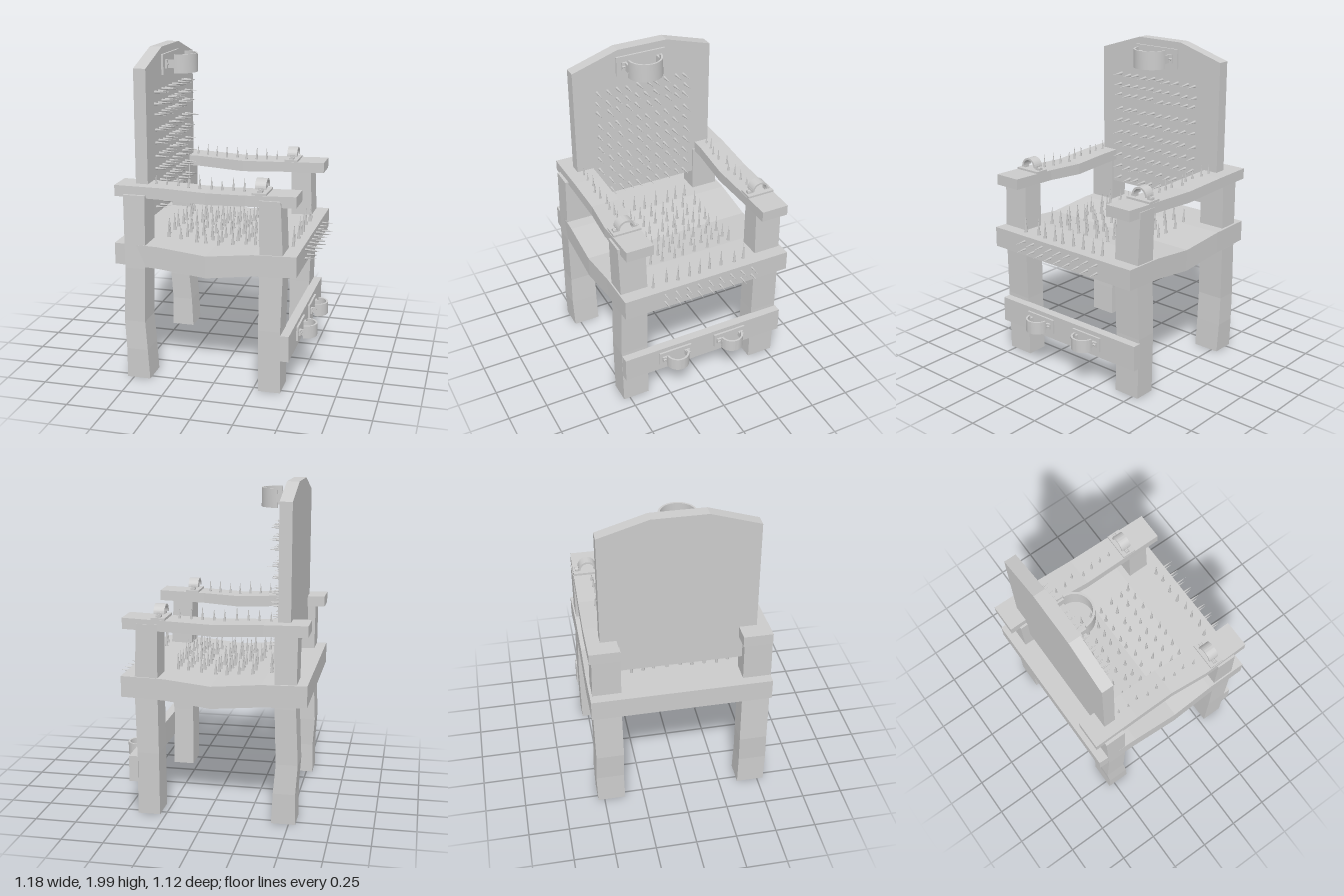
import * as THREE from 'three';
import { mergeGeometries, toCreasedNormals } from 'three/addons/utils/BufferGeometryUtils.js';

const V = (x, y, z) => new THREE.Vector3(x, y, z);
const grey = new THREE.MeshStandardMaterial({ color: 0xcccccc });
const flat = new THREE.MeshStandardMaterial({ color: 0xcccccc, flatShading: true });

// small seeded generator for hand-made irregularity, range -1..1
let seed = 7;
const jitter = () => {
  seed = (seed * 16807) % 2147483647;
  return (seed / 2147483647) * 2 - 1;
};

function add(parent, name, geometry, material = flat) {
  const mesh = new THREE.Mesh(geometry, material);
  mesh.name = name;
  parent.add(mesh);
  return mesh;
}

// Rough timber: rectangular sections [t, a0, a1, b0, b1] along an axis.
// axis x: a = y, b = z; axis y: a = z, b = x
function timber(axis, stations) {
  const place = axis === 'x' ? (t, a, b) => [t, a, b] : (t, a, b) => [b, t, a];
  const rings = stations.map(([t, a0, a1, b0, b1]) =>
    [place(t, a0, b0), place(t, a1, b0), place(t, a1, b1), place(t, a0, b1)]);
  const pos = [];
  const quad = (a, b, c, d) => pos.push(...a, ...b, ...c, ...a, ...c, ...d);
  for (let s = 0; s < rings.length - 1; s++) {
    for (let i = 0; i < 4; i++) {
      const j = (i + 1) % 4;
      quad(rings[s][i], rings[s][j], rings[s + 1][j], rings[s + 1][i]);
    }
  }
  const first = rings[0], last = rings[rings.length - 1];
  quad(first[3], first[2], first[1], first[0]);
  quad(...last);
  const geo = new THREE.BufferGeometry();
  geo.setAttribute('position', new THREE.Float32BufferAttribute(pos, 3));
  geo.computeVertexNormals();
  return geo;
}

// Slender cone standing at a point, pointing along dir
function spike(base, dir, length, radius = 0.011) {
  const geo = new THREE.ConeGeometry(radius, length, 6);
  geo.translate(0, length / 2, 0);
  const lean = dir.clone().add(V(jitter(), jitter(), jitter()).multiplyScalar(0.03)).normalize();
  geo.applyQuaternion(new THREE.Quaternion().setFromUnitVectors(V(0, 1, 0), lean));
  return geo.translate(base.x, base.y, base.z);
}

// Half-ring restraint on a mounting plate; local x = span, y = outward, z = band width
function cuff(name, { at, span, out, r, band, stand, plate }) {
  const group = new THREE.Group();
  group.name = name;
  const t = 0.012, plateT = 0.014;
  const shape = new THREE.Shape();
  shape.absarc(0, 0, r, 0, Math.PI, false);
  shape.absarc(0, 0, r - t, Math.PI, 0, true);
  const ring = new THREE.ExtrudeGeometry(shape, { depth: band, bevelEnabled: false, curveSegments: 14 });
  ring.translate(0, stand, -band / 2);
  add(group, 'cuffBand', toCreasedNormals(ring, 0.6), grey);
  add(group, 'cuffPlate', new THREE.BoxGeometry(plate[0], plateT, plate[1])).position.y = plateT / 2;
  for (const s of [-1, 1]) {
    // narrow tab from band to plate, with a foot and a pin
    add(group, 'cuffTab', new THREE.BoxGeometry(t, stand + 0.01, band * 0.45))
      .position.set(s * (r - t / 2), stand / 2 + 0.005, 0);
    add(group, 'cuffFoot', new THREE.BoxGeometry(0.025, 0.012, band * 0.45))
      .position.set(s * (r + 0.008), plateT + 0.006, 0);
    add(group, 'cuffPin', new THREE.CylinderGeometry(0.007, 0.007, 0.024, 8).rotateZ(Math.PI / 2), grey)
      .position.set(s * (r + 0.008), plateT + 0.012, 0);
  }
  group.quaternion.setFromRotationMatrix(
    new THREE.Matrix4().makeBasis(span, out, span.clone().cross(out)));
  group.position.copy(at);
  return group;
}

export function createModel() {
  seed = 7;
  const chair = new THREE.Group();
  chair.name = 'spikedChair';

  // sagging seat slab
  add(chair, 'seat', timber('x', [
    [-0.6, 0.74, 0.87, -0.56, 0.54], [-0.33, 0.73, 0.865, -0.56, 0.548],
    [-0.03, 0.70, 0.835, -0.55, 0.557], [0.25, 0.735, 0.865, -0.55, 0.55],
    [0.51, 0.745, 0.872, -0.553, 0.55]]));

  // armrests
  add(chair, 'rightArmrest', timber('x', [
    [-0.6, 1.155, 1.222, 0.345, 0.522], [-0.3, 1.148, 1.218, 0.341, 0.517],
    [-0.04, 1.135, 1.205, 0.337, 0.512], [0.2, 1.148, 1.213, 0.357, 0.535],
    [0.5, 1.155, 1.222, 0.358, 0.53]]));
  add(chair, 'leftArmrest', timber('x', [
    [-0.6, 1.155, 1.222, -0.56, -0.38], [-0.34, 1.15, 1.218, -0.56, -0.386],
    [-0.04, 1.135, 1.205, -0.552, -0.368], [0.22, 1.148, 1.213, -0.545, -0.366],
    [0.5, 1.155, 1.222, -0.537, -0.364]]));

  // crooked posts running from floor to armrests
  const backBend = [[0.01, -0.54, -0.395], [0.2, -0.538, -0.405], [0.38, -0.55, -0.42],
    [0.72, -0.535, -0.41], [1.17, -0.54, -0.405]];
  const frontBend = [[0.01, 0.285, 0.42], [0.4, 0.285, 0.418], [0.8, 0.29, 0.43], [1.19, 0.285, 0.412]];
  for (const [label, bend] of [['back', backBend], ['front', frontBend]]) {
    for (const s of [-1, 1]) {
      add(chair, label + (s > 0 ? 'RightPost' : 'LeftPost'), timber('y', bend.map(([y, x0, x1], i) => {
        const inner = s * (0.368 + 0.004 * (i % 2)), outer = s * (0.54 + 0.006 * (i % 2));
        return [y, Math.min(inner, outer), Math.max(inner, outer), x0, x1];
      })));
    }
  }

  // backrest board with clipped shoulders (shape x is mirrored z)
  const board = new THREE.Shape([[-0.45, 1.0], [0.48, 1.0], [0.48, 1.91], [0.18, 2.0], [-0.15, 2.0], [-0.45, 1.905]]
    .map(([a, y]) => new THREE.Vector2(a, y)));
  const boardGeo = new THREE.ExtrudeGeometry(board, { depth: 0.075, bevelEnabled: false });
  add(chair, 'backrest', boardGeo.rotateY(Math.PI / 2).translate(-0.49, 0, 0));

  // ankle board
  add(chair, 'ankleBoard', new THREE.BoxGeometry(0.055, 0.16, 1.095)).position.set(0.442, 0.297, -0.005);

  // restraints
  const X = V(1, 0, 0), Y = V(0, 1, 0), Z = V(0, 0, 1);
  chair.add(cuff('neckCuff', { at: V(-0.416, 1.893, 0), span: Z, out: X, r: 0.112, band: 0.115, stand: 0.065, plate: [0.33, 0.125] }));
  for (const [side, z] of [['right', 0.205], ['left', -0.18]]) {
    chair.add(cuff(side + 'AnkleCuff', { at: V(0.468, 0.305, z), span: Z, out: X, r: 0.073, band: 0.08, stand: 0.038, plate: [0.22, 0.09] }));
  }
  for (const [side, z] of [['right', 0.442], ['left', -0.455]]) {
    chair.add(cuff(side + 'WristCuff', { at: V(0.282, 1.215, z), span: Z, out: Y, r: 0.055, band: 0.065, stand: 0.03, plate: [0.175, 0.086] }));
  }

  // seat spikes
  const seatSpikes = [];
  for (const x of [-0.34, -0.24, -0.16, -0.085, -0.01, 0.075, 0.15, 0.23, 0.44]) {
    const top = 0.832 + 0.09 * Math.min(Math.abs(x + 0.03), 0.4);
    for (let k = 0; k < 9; k++) {
      seatSpikes.push(spike(V(x + jitter() * 0.012, top, -0.29 + k * 0.078 + jitter() * 0.012), Y, 0.115 + jitter() * 0.012));
    }
  }
  add(chair, 'seatSpikes', mergeGeometries(seatSpikes), grey);

  // two rows on the front edge of the seat
  const edgeSpikes = [];
  for (const y of [0.84, 0.787]) {
    for (let k = 0; k < 9; k++) edgeSpikes.push(spike(V(0.505, y, -0.3 + k * 0.074), X, 0.08, 0.008));
  }
  add(chair, 'frontEdgeSpikes', mergeGeometries(edgeSpikes), grey);

  // backrest spikes
  const backSpikes = [];
  for (const y of [1.04, 1.12, 1.2, 1.28, 1.36, 1.44, 1.515, 1.61, 1.675, 1.745]) {
    for (let k = 0; k < 10; k++) {
      backSpikes.push(spike(V(-0.418, y + jitter() * 0.005, -0.3 + k * 0.066 + jitter() * 0.01), X, 0.088 + jitter() * 0.01, 0.01));
    }
  }
  add(chair, 'backrestSpikes', mergeGeometries(backSpikes), grey);

  // one row along each armrest
  const armSpikes = [];
  for (const z of [0.435, -0.44]) {
    for (let k = 0; k < 9; k++) {
      armSpikes.push(spike(V(-0.37 + k * 0.068, 1.203, z + jitter() * 0.02), Y, 0.08 + jitter() * 0.015, 0.009));
    }
  }
  add(chair, 'armrestSpikes', mergeGeometries(armSpikes), grey);

  return chair;
}
